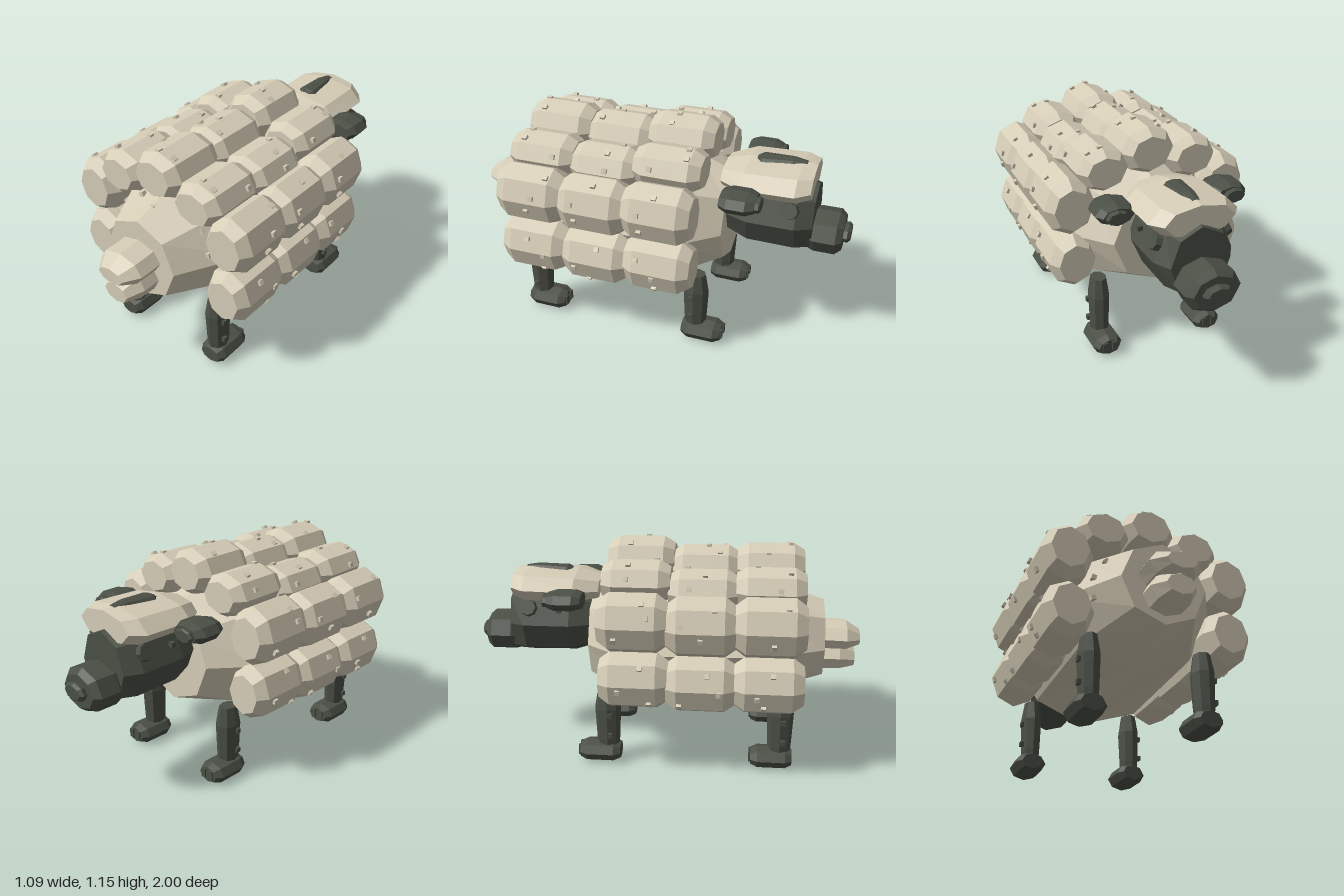
import * as THREE from 'three';

const mat = (name, color) => new THREE.MeshStandardMaterial({ name, color, flatShading: true });

export function createModel() {
  const wool = mat('wool cream', 0xd6cdb7);
  const dark = mat('charcoal', 0x4b5046);
  const root = new THREE.Group();
  root.name = 'sheep';

  let seed = 11;
  const rand = () => ((seed = (seed * 16807) % 2147483647) / 2147483647);

  // Closed faceted loft along z; stations are [z, rx, ry, y], in rising z.
  function loft(stations, n = 8) {
    const p = [];
    const at = (i, j) => {
      const [z, rx, ry, y = 0] = stations[i];
      const a = (j / n) * Math.PI * 2;
      return [rx * Math.cos(a), y + ry * Math.sin(a), z];
    };
    const last = stations.length - 1;
    for (let j = 0; j < n; j++) {
      for (let i = 0; i < last; i++) {
        const a = at(i, j), b = at(i, j + 1), c = at(i + 1, j + 1), d = at(i + 1, j);
        p.push(...a, ...b, ...c, ...a, ...c, ...d);
      }
      p.push(0, stations[0][3] || 0, stations[0][0], ...at(0, j + 1), ...at(0, j));
      p.push(0, stations[last][3] || 0, stations[last][0], ...at(last, j), ...at(last, j + 1));
    }
    const g = new THREE.BufferGeometry();
    g.setAttribute('position', new THREE.Float32BufferAttribute(p, 3));
    g.computeVertexNormals();
    return g;
  }

  // Barrel with bevelled ends, centred on the origin.
  const barrel = (rx, ry, half, bevel, end = 0.72) => loft([
    [-half, rx * end, ry * end], [-half + bevel, rx, ry],
    [half - bevel, rx, ry], [half, rx * end, ry * end],
  ]);

  function add(name, geometry, material, x = 0, y = 0, z = 0, parent = root) {
    const m = new THREE.Mesh(geometry, material);
    m.name = name;
    m.position.set(x, y, z);
    parent.add(m);
    return m;
  }

  const tuftBox = new THREE.BoxGeometry(0.024, 0.024, 0.024);
  const tuft = (x, y, z, angle, material = wool) => {
    add('smallTuft', tuftBox, material, x, y, z).rotation.z = angle;
  };

  // Body
  add('body', loft([
    [-0.39, 0.24, 0.24, 0.62], [-0.2, 0.4, 0.32, 0.62],
    [0.5, 0.39, 0.3, 0.63], [0.81, 0.21, 0.21, 0.62],
  ]), wool);
  for (let i = 0; i < 9; i++) {
    const a = -0.2 + (i / 8) * (Math.PI + 0.4);
    const t = 0.3 + 0.4 * rand();
    const r = 0.39 - 0.18 * t;
    tuft(r * 0.96 * Math.cos(a), 0.62 + (0.3 - 0.09 * t) * 0.96 * Math.sin(a), 0.5 + 0.31 * t, a);
  }

  // Fleece: three rows of seven lumps, [x, y, rx, ry, outward angle]
  const arch = [
    [0.4, 0.495, 0.125, 0.145, -0.1], [0.41, 0.79, 0.13, 0.15, 0.3],
    [0.235, 0.935, 0.135, 0.11, 1.0], [0, 1.0, 0.14, 0.12, Math.PI / 2],
  ];
  const rows = [[0.53, 0], [0.2, -0.015], [-0.13, 0.025]];
  for (const [z, lift] of rows) {
    for (const [x, y, rx, ry, out] of arch) {
      for (const s of x ? [1, -1] : [1]) {
        const cy = y + (x < 0.3 ? lift : lift * 0.3);
        add('fleeceLump', barrel(rx, ry, 0.17, 0.055), wool, s * x, cy, z);
        for (let k = 0; k < 3; k++) {
          const a = out + (k - 1) * 0.65 + (rand() - 0.5) * 0.3;
          tuft(s * (x + rx * 0.95 * Math.cos(a)), cy + ry * 0.95 * Math.sin(a),
            z + (rand() - 0.5) * 0.2, s * a);
        }
      }
    }
  }

  // Tail puffs
  add('tailTop', loft([
    [0.74, 0.13, 0.08, 0.65], [0.93, 0.13, 0.075, 0.645], [1.0, 0.075, 0.04, 0.635],
  ]), wool);
  add('tailBottom', loft([
    [0.66, 0.11, 0.09, 0.54], [0.9, 0.11, 0.085, 0.54], [0.98, 0.07, 0.05, 0.525],
  ]), wool);

  // Head, muzzle and nose
  add('head', loft([
    [-0.82, 0.15, 0.18, 0.695], [-0.74, 0.2, 0.19, 0.7],
    [-0.5, 0.2, 0.185, 0.7], [-0.36, 0.14, 0.14, 0.7],
  ]), dark);
  add('muzzle', loft([
    [-0.965, 0.11, 0.085, 0.62], [-0.935, 0.14, 0.11, 0.62],
    [-0.83, 0.14, 0.11, 0.62], [-0.77, 0.11, 0.09, 0.62],
  ]), dark);
  add('nose', loft([
    [-1.0, 0.055, 0.035, 0.625], [-0.985, 0.075, 0.045, 0.625], [-0.95, 0.065, 0.04, 0.625],
  ]), dark);

  // Wool cap with a dark crest
  add('woolCap', loft([
    [-0.8, 0.175, 0.075, 0.895], [-0.73, 0.225, 0.09, 0.89],
    [-0.47, 0.225, 0.085, 0.885], [-0.35, 0.14, 0.06, 0.875],
  ]), wool);
  add('crest', loft([
    [-0.75, 0.025, 0.015, 0.965], [-0.68, 0.04, 0.025, 0.966],
    [-0.53, 0.055, 0.025, 0.96], [-0.5, 0.03, 0.015, 0.955],
  ]), dark);

  for (const s of [1, -1]) {
    // Ears and eyes
    add('ear', barrel(0.1, 0.053, 0.085, 0.04, 0.75), dark, s * 0.29, 0.868, -0.485);
    add('earTip', barrel(0.055, 0.035, 0.015, 0.006, 0.85), dark, s * 0.3, 0.868, -0.58);
    const eye = add('eye', new THREE.CylinderGeometry(0.04, 0.045, 0.03, 8), dark, s * 0.177, 0.79, -0.71);
    eye.rotation.z = -s * Math.PI / 2 + s * 0.4;
    tuft(s * 0.18, 0.78, -0.55, 0, dark);

    // Legs and feet
    for (const z of [0.6, -0.285]) {
      const leg = add('leg', loft([
        [0.08, 0.045, 0.055], [0.13, 0.05, 0.06], [0.3, 0.056, 0.068], [0.4, 0.04, 0.05],
      ]), dark, s * 0.285, 0, z);
      leg.rotation.x = -Math.PI / 2;
      add('foot', barrel(0.078, 0.056, 0.105, 0.035, 0.72), dark, s * 0.285, 0.06, z - 0.04);
      for (const dx of [-0.025, 0.025]) {
        add('toe', new THREE.BoxGeometry(0.025, 0.05, 0.015), dark, s * 0.285 + dx, 0.065, z - 0.147);
      }
      for (const y of [0.16, 0.27]) tuft(s * 0.335, y, z + 0.015, 0, dark);
    }
  }
  return root;
}
